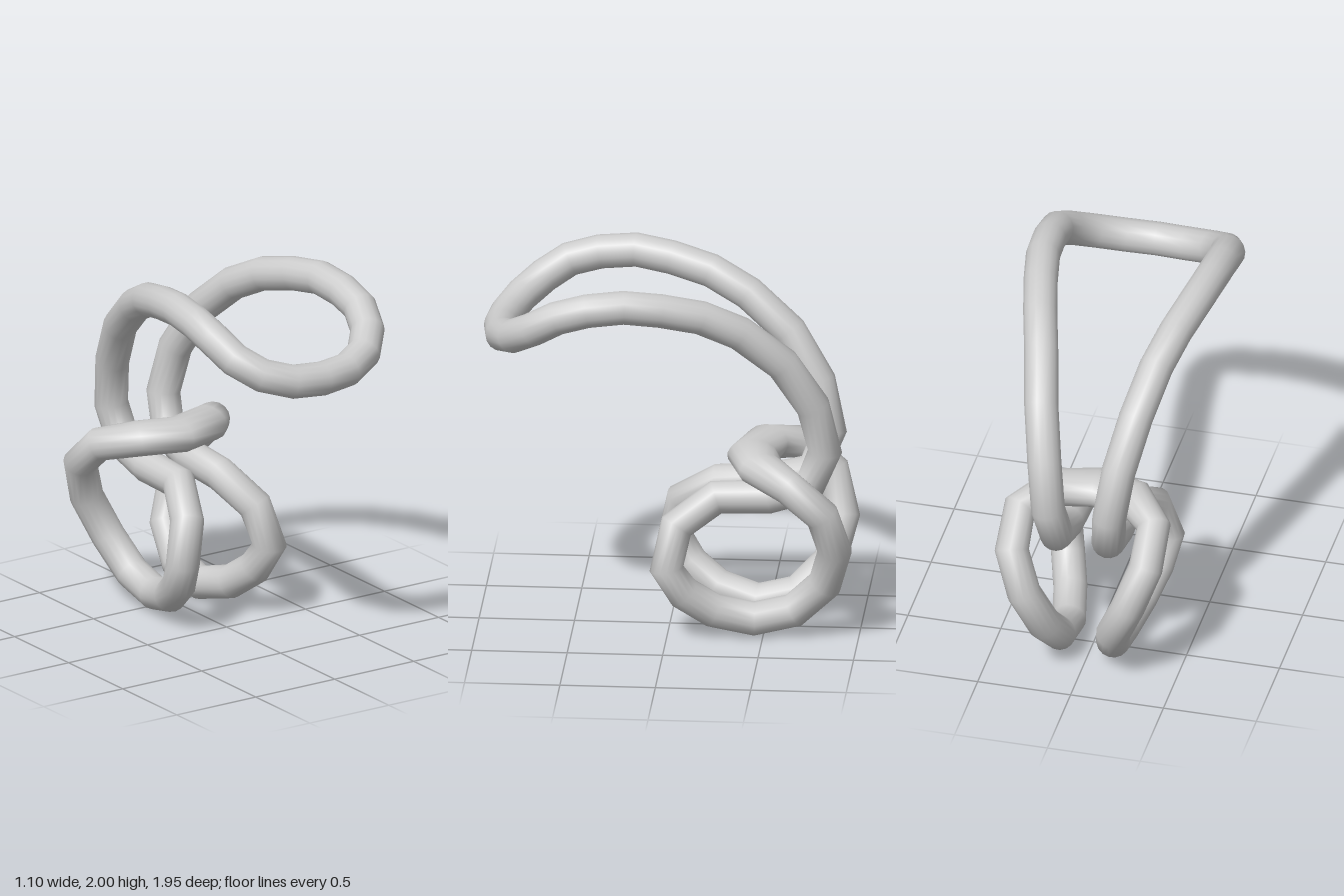
import * as THREE from 'three';

const RADIUS = 0.09, SIDES = 16;

// Left half of the centre line, from the front of the upper loop to the rear crossbar
const HALF = [
  // upper loop
  [0, 1.635, 0.885], [0.17, 1.645, 0.865], [0.32, 1.69, 0.8], [0.42, 1.765, 0.69],
  [0.46, 1.845, 0.56], [0.462, 1.89, 0.4], [0.45, 1.91, 0.21], [0.415, 1.885, 0.02],
  [0.365, 1.835, -0.19], [0.31, 1.735, -0.39], [0.255, 1.55, -0.61],
  [0.2, 1.3, -0.765], [0.165, 1.04, -0.825],
  // lower loop
  [0.14, 0.83, -0.74], [0.135, 0.77, -0.53], [0.13, 0.755, -0.25], [0.215, 0.62, -0.05],
  [0.275, 0.405, -0.003], [0.24, 0.26, -0.09], [0.19, 0.15, -0.24], [0.145, 0.093, -0.45],
  [0.145, 0.145, -0.66], [0.185, 0.31, -0.825], [0.28, 0.53, -0.885],
  // crossbar
  [0.36, 0.75, -0.825], [0.36, 0.9, -0.65], [0.22, 0.948, -0.495], [0, 0.945, -0.435],
];

// Closed polyline whose rings sit exactly on the given points
class LoopCurve extends THREE.Curve {
  constructor(points) {
    super();
    this.points = points;
  }
  at(i) {
    const n = this.points.length;
    return this.points[(i + n) % n];
  }
  getPoint(t, target = new THREE.Vector3()) {
    return target.copy(this.at(Math.round(t * this.points.length)));
  }
  getPointAt(t, target) {
    return this.getPoint(t, target);
  }
  getTangentAt(t, target = new THREE.Vector3()) {
    const i = Math.round(t * this.points.length);
    const before = this.at(i).clone().sub(this.at(i - 1)).normalize();
    const after = this.at(i + 1).clone().sub(this.at(i)).normalize();
    return target.copy(before.add(after).normalize());
  }
}

export function createModel() {
  const half = HALF.map((p) => new THREE.Vector3(...p));
  const mirrored = half.slice(1, -1).reverse().map((p) => new THREE.Vector3(-p.x, p.y, p.z));
  const points = [...half, ...mirrored];
  const geometry = new THREE.TubeGeometry(new LoopCurve(points), points.length, RADIUS, SIDES, true);

  // Widen the middle rings of the crossbar from front to back
  const pos = geometry.attributes.position, nor = geometry.attributes.normal;
  const mid = half.length - 1, v = new THREE.Vector3();
  for (let ring = mid - 1; ring <= mid + 1; ring++) {
    const stretch = ring === mid ? 1.5 : 1.45;
    for (let j = 0; j <= SIDES; j++) {
      const i = ring * (SIDES + 1) + j;
      const z = points[ring].z;
      pos.setZ(i, z + (pos.getZ(i) - z) * stretch);
      v.fromBufferAttribute(nor, i);
      v.z /= stretch;
      v.normalize();
      nor.setXYZ(i, v.x, v.y, v.z);
    }
  }

  const tube = new THREE.Mesh(geometry, new THREE.MeshStandardMaterial({ color: 0xcccccc }));
  tube.name = 'knottedLoop';
  const group = new THREE.Group();
  group.name = 'knotSculpture';
  group.add(tube);
  return group;
}
